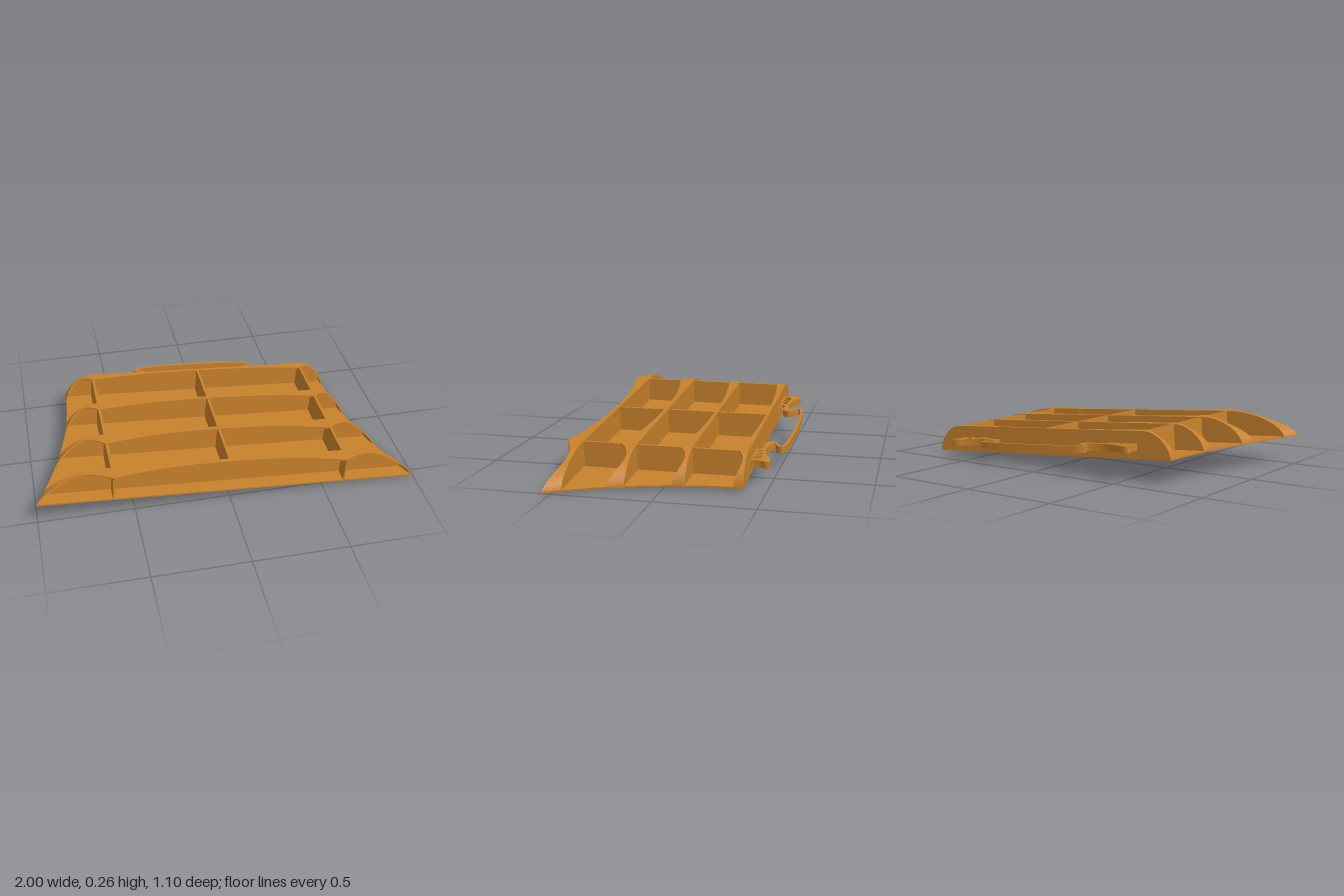
import * as THREE from 'three';
import { toCreasedNormals } from 'three/addons/utils/BufferGeometryUtils.js';

const H = 0.142;       // height of walls and dividers
const BAY = 0.612;     // x of the outer dividers
const BACK = -0.39, FRONT = 0.545;
const wood = new THREE.MeshStandardMaterial({ color: 0xc6802c, side: THREE.DoubleSide });
wood.name = 'warm ochre';

// rows of hooded walls: back plane, front rim, and how far the rim scoops back
const rows = [
  { z: -0.39, rim: -0.338, sag: 0.036 },
  { z: -0.108, rim: -0.045, sag: 0.044 },
  { z: 0.178, rim: 0.262, sag: 0.062 },
  { z: 0.46, rim: FRONT, sag: 0.062 },
];

// half width of the flared floor at depth z
const halfWidth = (z) => 0.765 + 0.235 * Math.pow(Math.max(0, (z - BACK) / (FRONT - BACK)), 1.95);

function mesh(geometry, name) {
  const m = new THREE.Mesh(geometry, wood);
  m.name = name;
  return m;
}

// stations from left to right: flat middle bay, rounded end bays (u runs 0..1 outwards)
function stations() {
  const right = [];
  for (let i = 0; i <= 12; i++) right.push({ x: (BAY * i) / 12, u: 0 });
  for (let i = 1; i <= 24; i++) right.push({ x: BAY, u: Math.sin((i / 24) * Math.PI / 2) });
  const left = right.slice(1).reverse().map((s) => ({ ...s, side: -1 }));
  return left.concat(right.map((s) => ({ ...s, side: 1 })));
}

// point on the arched outline at depth z, shrunk by inset
function archPoint(s, z, inset = 0) {
  const x = s.x + s.u * (halfWidth(z) - inset - BAY);
  const y = (H - inset) * Math.pow(Math.max(0, 1 - s.u * s.u), 0.6);
  return [s.side * x, y, z];
}

// curved roof between the wall and its scooped rim
function hoodGeometry(row) {
  const list = stations(), pos = [], index = [];
  list.forEach((s, i) => {
    const scoop = s.u > 0 ? Math.sin(Math.PI * s.u) : 1 - Math.pow(s.x / BAY, 2.5);
    const zr = row.rim - row.sag * scoop;
    pos.push(...archPoint(s, row.z), ...archPoint(s, zr));
    pos.push(...archPoint(s, zr, 0.007), ...archPoint(s, row.z, 0.007));
    if (i === 0) return;
    for (let j = 0; j < 4; j++) {
      const k = (j + 1) % 4, p = (i - 1) * 4, q = i * 4;
      index.push(p + j, p + k, q + k, p + j, q + k, q + j);
    }
  });
  const g = new THREE.BufferGeometry();
  g.setAttribute('position', new THREE.Float32BufferAttribute(pos, 3));
  g.setIndex(index);
  return toCreasedNormals(g, 0.6);
}

// upright arched wall
function wallGeometry(row) {
  const pts = stations().map((s) => {
    const p = archPoint(s, row.z);
    return new THREE.Vector2(p[0], p[1]);
  });
  const g = new THREE.ExtrudeGeometry(new THREE.Shape(pts.reverse()), { depth: 0.008, bevelEnabled: false });
  return g.translate(0, 0, row.z);
}

// extrude an outline drawn in (x, -z) upwards from y
function slab(shape, y, height) {
  const g = new THREE.ExtrudeGeometry(shape, { depth: height, bevelEnabled: false, curveSegments: 8 });
  return toCreasedNormals(g.rotateX(-Math.PI / 2).translate(0, y, 0), 0.6);
}

const toVectors = (list) => list.map(([x, y]) => new THREE.Vector3(x, y, 0));

// outline of a band of constant width along a path
function bandShape(points, width) {
  const curve = new THREE.CatmullRomCurve3(toVectors(points));
  const a = [], b = [], n = 110;
  for (let i = 0; i <= n; i++) {
    const p = curve.getPointAt(i / n), t = curve.getTangentAt(i / n);
    const ox = (-t.y * width) / 2, oy = (t.x * width) / 2;
    a.push(new THREE.Vector2(p.x + ox, p.y + oy));
    b.push(new THREE.Vector2(p.x - ox, p.y - oy));
  }
  return new THREE.Shape(a.concat(b.reverse()));
}

function smoothLoop(points, n) {
  const c = new THREE.CatmullRomCurve3(toVectors(points), true, 'centripetal');
  return c.getPoints(n).slice(0, n).map((p) => new THREE.Vector2(p.x, p.y));
}

// openwork bracket joining the handle to the back wall
function bracketShape(side) {
  const flip = (pts) => pts.map(([x, y]) => [x * side, y]);
  const wing = [[0.57, 0.41], [0.572, 0.44], [0.586, 0.468], [0.58, 0.486], [0.545, 0.487],
    [0.5, 0.466], [0.44, 0.446], [0.38, 0.442], [0.32, 0.456], [0.285, 0.474],
    [0.272, 0.46], [0.282, 0.434], [0.32, 0.418], [0.37, 0.422], [0.41, 0.405]];
  const spline = new THREE.CatmullRomCurve3(toVectors(flip(wing)), false, 'centripetal');
  const edge = spline.getPoints(70).map((p) => new THREE.Vector2(p.x, p.y));
  const feet = flip([[0.38, 0.388], [0.574, 0.388]]).map(([x, y]) => new THREE.Vector2(x, y));
  const shape = new THREE.Shape(edge.concat(feet));
  const holes = [
    [[0.425, 0.402], [0.455, 0.4], [0.44, 0.425], [0.415, 0.426]],
    [[0.47, 0.4], [0.495, 0.4], [0.475, 0.432], [0.458, 0.432]],
    [[0.51, 0.4], [0.555, 0.4], [0.545, 0.428], [0.495, 0.435]],
  ];
  holes.forEach((h) => shape.holes.push(new THREE.Path(smoothLoop(flip(h), 16))));
  return shape;
}

export function createModel() {
  const model = new THREE.Group();
  model.name = 'compartmentTray';
  const tray = new THREE.Group();
  tray.name = 'tiltedTray';
  model.add(tray);

  // flared floor plate
  const rightEdge = [], leftEdge = [];
  for (let i = 0; i <= 30; i++) {
    const z = BACK + ((FRONT - BACK) * i) / 30;
    rightEdge.push(new THREE.Vector2(halfWidth(z), -z));
    leftEdge.push(new THREE.Vector2(-halfWidth(z), -z));
  }
  tray.add(mesh(slab(new THREE.Shape(leftEdge.concat(rightEdge.reverse())), 0, 0.008), 'floor'));

  // hooded walls with the dividers in front of each
  rows.forEach((row, i) => {
    const group = new THREE.Group();
    group.name = `row${i + 1}`;
    group.add(mesh(wallGeometry(row), 'wall'), mesh(hoodGeometry(row), 'hood'));
    const end = i < 3 ? rows[i + 1].z : FRONT;
    const spots = i < 3 ? [-BAY, 0, BAY] : [-BAY, BAY];
    for (const x of spots) {
      const top = H - 0.001, length = end - row.z - 0.004;
      const divider = mesh(new THREE.BoxGeometry(i < 3 ? 0.014 : 0.008, top, length), 'divider');
      divider.position.set(x, top / 2, row.z + 0.002 + length / 2);
      group.add(divider);
    }
    tray.add(group);
  });

  // carrying handle: bowed grip hooked into two brackets
  const handle = new THREE.Group();
  handle.name = 'handle';
  const half = [[0.12, 0.541], [0.24, 0.534], [0.315, 0.524], [0.342, 0.507], [0.325, 0.49], [0.29, 0.478], [0.277, 0.46]];
  const grip = half.map(([x, y]) => [-x, y]).reverse().concat([[0, 0.543]], half);
  handle.add(mesh(slab(bandShape(grip, 0.015), 0.044, 0.036), 'grip'));
  for (const side of [-1, 1]) handle.add(mesh(slab(bracketShape(side), 0.044, 0.036), 'bracket'));
  tray.add(handle);

  // the whole tray leans down towards +x
  tray.rotation.z = -0.0725;
  tray.position.y = 0.0725;
  return model;
}
